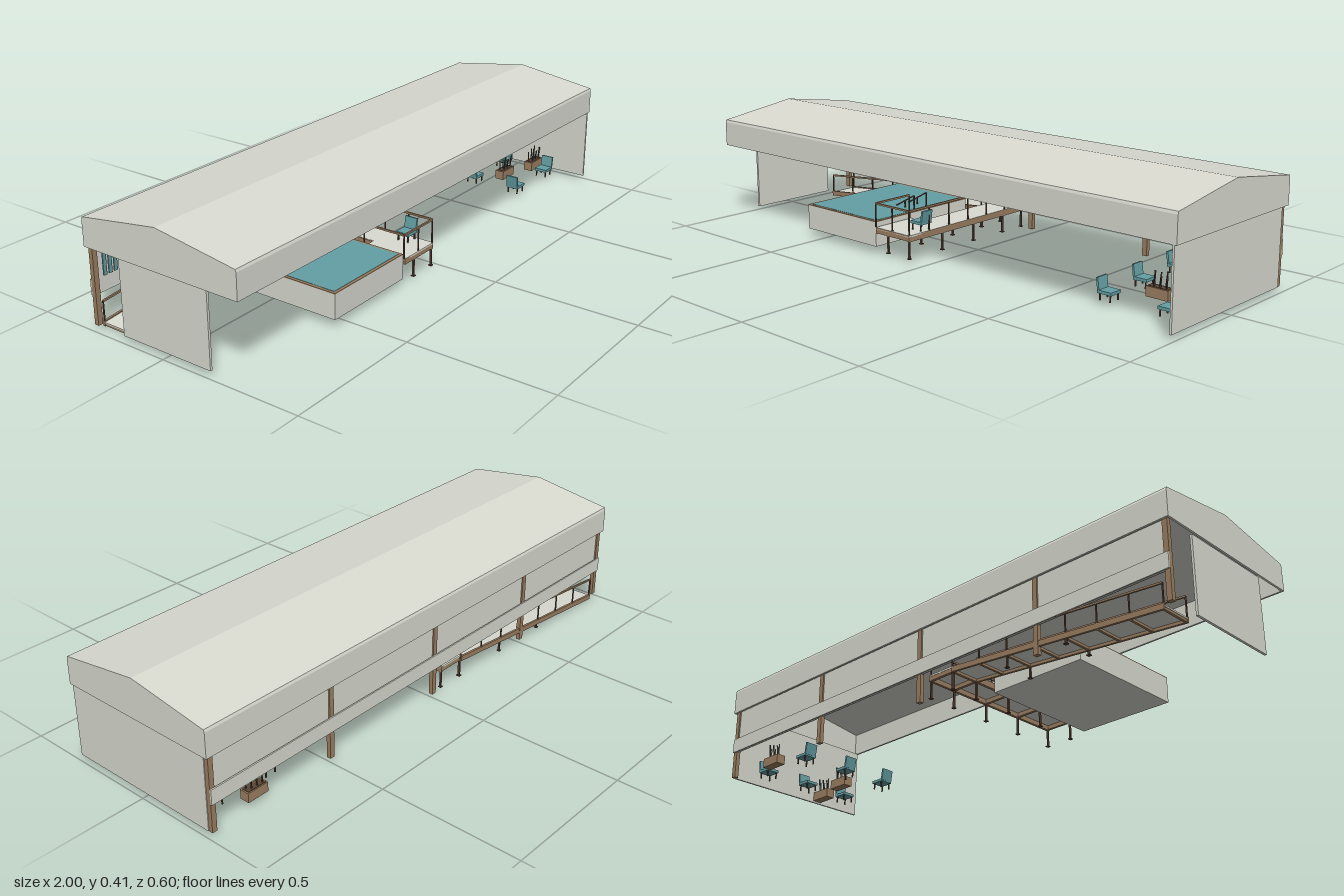
import * as THREE from 'three';

const mat = (name, color) => {
  const m = new THREE.MeshStandardMaterial({ color });
  m.name = name;
  return m;
};

export function createModel() {
  const grey = mat('pale grey cladding', 0xdadbd1);
  const wood = mat('brown timber', 0x9d8062);
  const dark = mat('dark timber', 0x5c4636);
  const teal = mat('teal', 0x649fa4);
  const plant = mat('plant stems', 0x45403a);
  const model = new THREE.Group();
  model.name = 'openPavilion';

  const group = (name, parent = model) => {
    const g = new THREE.Group();
    g.name = name;
    parent.add(g);
    return g;
  };
  // Axis-aligned box given by its limits
  const box = (p, name, m, x0, x1, y0, y1, z0, z1) => {
    const mesh = new THREE.Mesh(new THREE.BoxGeometry(x1 - x0, y1 - y0, z1 - z0), m);
    mesh.position.set((x0 + x1) / 2, (y0 + y1) / 2, (z0 + z1) / 2);
    mesh.name = name;
    p.add(mesh);
  };
  // Bar between two points: w across, h tall
  const bar = (p, name, m, a, b, w = 0.006, h = w) => {
    const A = new THREE.Vector3(...a), B = new THREE.Vector3(...b);
    const mesh = new THREE.Mesh(new THREE.BoxGeometry(w, h, A.distanceTo(B)), m);
    mesh.position.copy(A).add(B).multiplyScalar(0.5);
    mesh.lookAt(B);
    mesh.name = name;
    p.add(mesh);
  };
  // Profile in z and y, extruded along x
  const extrudeX = (p, name, pts, x0, x1) => {
    const shape = new THREE.Shape(pts.map(([z, y]) => new THREE.Vector2(z, y)));
    const geo = new THREE.ExtrudeGeometry(shape, { depth: x1 - x0, bevelEnabled: false });
    geo.rotateY(Math.PI / 2).translate(x0, 0, 0);
    const mesh = new THREE.Mesh(geo, grey);
    mesh.name = name;
    p.add(mesh);
  };

  // Roof shell with deep fascias and closed gables
  const roof = group('roof');
  const outer = [[-0.3, 0.275], [-0.3, 0.361], [-0.297, 0.37], [0, 0.413], [0.297, 0.37], [0.3, 0.361], [0.3, 0.275]];
  const inner = [[0.293, 0.275], [0.293, 0.36], [0, 0.403], [-0.293, 0.36], [-0.293, 0.275]];
  extrudeX(roof, 'roofShell', [...outer, ...inner], -0.993, 0.993);
  for (const s of [-1, 1]) extrudeX(roof, 'gable', outer, s < 0 ? -1 : 0.993, s < 0 ? -0.993 : 1);

  // End walls, back wall and its low outer band
  const walls = group('walls');
  box(walls, 'fullEndWall', grey, 0.985, 0.992, 0.018, 0.278, -0.278, 0.298);
  box(walls, 'shortEndWall', grey, -0.988, -0.98, 0.018, 0.278, -0.17, 0.175);
  box(walls, 'backPanel', grey, -0.985, 0.985, 0.116, 0.278, -0.288, -0.284);
  box(walls, 'backBand', grey, -0.99, 0.99, 0.115, 0.167, -0.298, -0.293);
  for (const x of [-0.981, -0.5, -0.002, 0.495, 0.981])
    box(walls, 'post', wood, x - 0.009, x + 0.009, 0.018, 0.278, -0.293, -0.278);

  // Hanging slats near one end
  const slats = group('slats');
  for (let i = 0; i < 10; i++) {
    const x = -0.955 + i * 0.0208;
    box(slats, 'slat', teal, x - 0.006, x + 0.005, 0.175, 0.276, -0.272, -0.268);
    box(slats, 'slatEdge', dark, x + 0.005, x + 0.007, 0.175, 0.276, -0.272, -0.268);
  }

  // Raised pool
  const pool = group('pool');
  box(pool, 'basin', grey, -0.56, -0.21, 0.03, 0.115, -0.16, 0.28);
  box(pool, 'rim', wood, -0.56, -0.21, 0.115, 0.118, -0.16, 0.28);
  box(pool, 'water', teal, -0.55, -0.22, 0.117, 0.119, -0.15, 0.27);
  for (const z of [0.02, 0.08]) {
    bar(pool, 'stepRail', dark, [-0.32, 0.118, z], [-0.23, 0.168, z], 0.004);
    for (const [x, y] of [[-0.275, 0.143], [-0.23, 0.168]])
      bar(pool, 'stepRailPost', dark, [x, 0.115, z], [x, y, z], 0.004);
  }

  // Row of posts with a top rail along a straight line
  const railing = (p, a, b, n, h = 0.082) => {
    const up = ([x, y, z]) => [x, y + h, z];
    bar(p, 'topRail', wood, up(a), up(b), 0.006);
    for (let i = 0; i <= n; i++) {
      const q = a.map((v, k) => v + (b[k] - v) * i / n);
      bar(p, 'railPost', dark, q, up(q), 0.004);
    }
  };
  const leg = (p, x, z, top) => {
    box(p, 'leg', dark, x - 0.003, x + 0.003, 0.018, top, z - 0.003, z + 0.003);
    box(p, 'foot', dark, x - 0.006, x + 0.006, 0.018, 0.021, z - 0.006, z + 0.006);
  };

  // Viewing deck and walkway beside the pool, pale boards on timber joists
  const deck = group('deck');
  box(deck, 'deckBoards', grey, -0.205, -0.045, 0.094, 0.1, 0.12, 0.285);
  box(deck, 'walkwayBoards', grey, -0.15, -0.045, 0.094, 0.1, -0.288, 0.12);
  for (const x of [-0.15, -0.05])
    box(deck, 'joist', wood, x - 0.005, x + 0.005, 0.078, 0.0995, -0.288, 0.284);
  for (const z of [-0.282, -0.18, -0.03, 0.125, 0.28]) {
    box(deck, 'crossBeam', wood, z > 0.1 ? -0.205 : -0.15, -0.045, 0.08, 0.0995, z - 0.005, z + 0.005);
    for (const x of [-0.15, -0.05]) leg(deck, x, z, 0.08);
  }
  railing(deck, [-0.048, 0.1, -0.282], [-0.048, 0.1, 0.282], 6);
  railing(deck, [-0.207, 0.1, 0.282], [-0.048, 0.1, 0.282], 2);
  railing(deck, [-0.207, 0.1, 0.125], [-0.207, 0.1, 0.282], 1);

  // Long ramp along the back
  const ramp = group('ramp');
  const rampY = x => 0.01 + (x + 0.96) * 0.095;
  const xa = -0.96, xb = -0.15;
  bar(ramp, 'rampBoards', grey, [xa, rampY(xa) + 0.003, -0.234], [xb, rampY(xb) + 0.003, -0.234], 0.1, 0.005);
  for (const z of [-0.18, -0.288]) {
    bar(ramp, 'stringer', wood, [xa, rampY(xa), z], [xb, rampY(xb), z], 0.008, 0.018);
    railing(ramp, [xa + 0.003, rampY(xa), z], [xb, rampY(xb), z], 7, 0.074);
  }
  for (let i = 0; i <= 7; i++) {
    const x = xa + 0.006 + i * 0.115, y = rampY(x);
    box(ramp, 'crossBeam', wood, x - 0.004, x + 0.004, y - 0.008, y, -0.288, -0.18);
    if (i % 2 && y > 0.035) for (const z of [-0.18, -0.284]) leg(ramp, x, z, y);
  }

  // Lounge chair; dir +1 faces +x
  const chair = (x, z, dir, y = 0.018) => {
    const c = group('chair');
    box(c, 'seat', teal, -0.025, 0.026, 0.022, 0.032, -0.024, 0.024);
    bar(c, 'backrest', teal, [-0.022, 0.028, 0], [-0.028, 0.07, 0], 0.046, 0.007);
    for (const sx of [-0.018, 0.02]) for (const sz of [-0.019, 0.019])
      box(c, 'chairLeg', dark, sx - 0.002, sx + 0.002, 0, 0.022, sz - 0.002, sz + 0.002);
    c.position.set(x, y, z);
    c.rotation.y = dir > 0 ? 0 : Math.PI;
  };
  for (const z of [0.17, -0.01, -0.195]) {
    chair(0.683, z, 1);
    chair(0.9, z, -1);
  }
  chair(-0.075, 0.2, -1, 0.1);

  // Planter boxes with upright stems
  for (const [x, z] of [[0.94, 0.1], [0.79, 0.06], [0.79, -0.255]]) {
    const p = group('planter');
    box(p, 'planterBox', wood, -0.04, 0.04, 0, 0.033, -0.017, 0.017);
    box(p, 'soil', dark, -0.035, 0.035, 0.033, 0.035, -0.013, 0.013);
    for (let i = 0; i < 6; i++) {
      const sx = -0.028 + i * 0.011, sz = (i % 2 - 0.5) * 0.012;
      bar(p, 'stem', plant, [sx, 0.033, sz], [sx + 0.004, 0.07 + (i * 5 % 3) * 0.007, sz * 1.4], 0.004);
    }
    p.position.set(x, 0.022, z);
  }
  return model;
}
